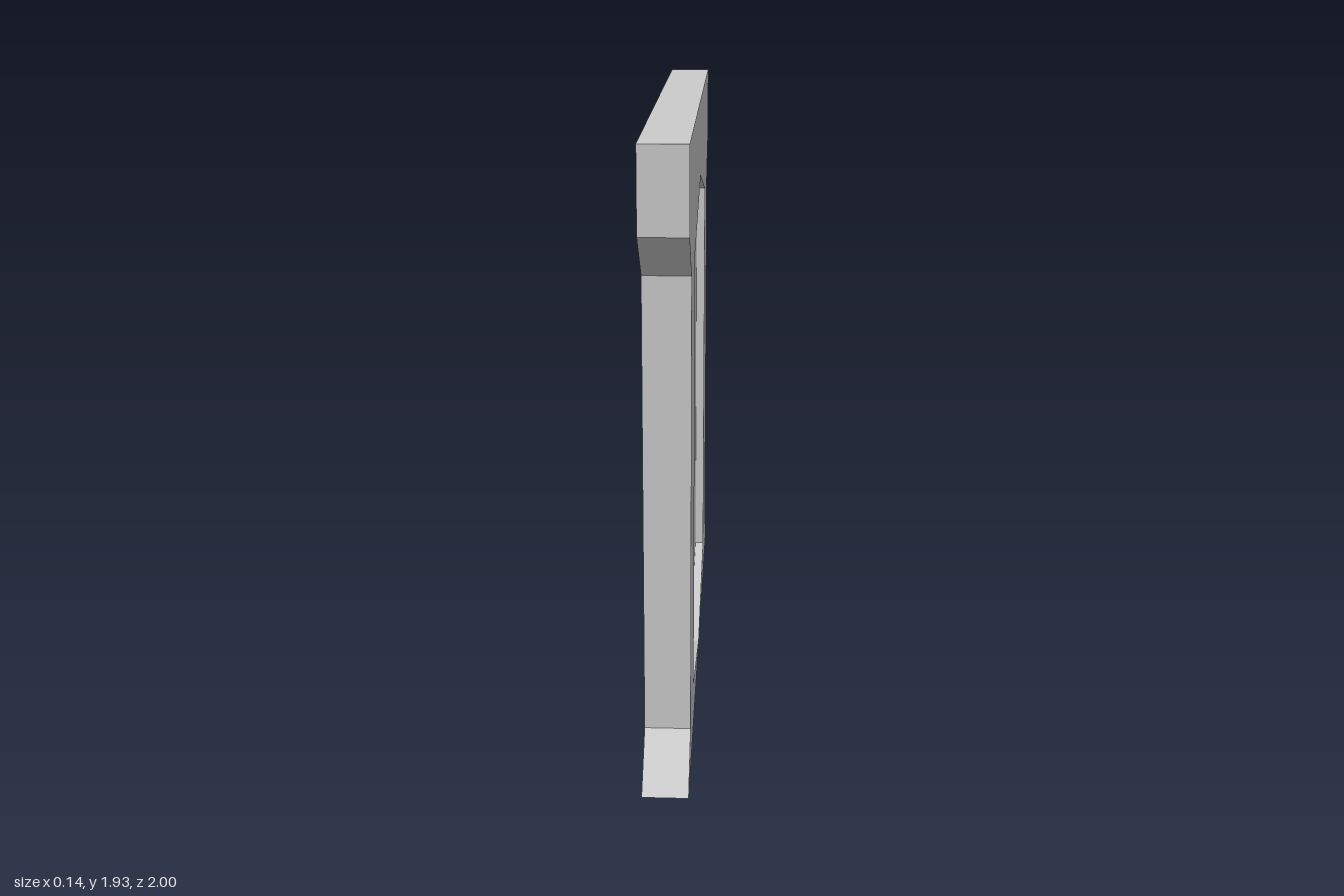
import * as THREE from 'three';

const mat = new THREE.MeshStandardMaterial({ color: 0xcccccc, side: THREE.DoubleSide });
const vecs = (pts) => pts.map(([z, y]) => new THREE.Vector2(z, y));

// Replaces each corner of a polygon by a small arc of radius r.
function rounded(pts, r, steps = 3) {
  const out = [];
  const p = vecs(pts);
  p.forEach((c, i) => {
    const a = p[(i + p.length - 1) % p.length].clone().sub(c).setLength(r).add(c);
    const b = p[(i + 1) % p.length].clone().sub(c).setLength(r).add(c);
    out.push(...new THREE.QuadraticBezierCurve(a, c, b).getPoints(steps));
  });
  return out;
}

// Slab with a (z, y) outline and holes, lying between x0 and x1.
function slab(name, outline, x0, x1, holes = []) {
  const shape = new THREE.Shape(outline);
  holes.forEach((h) => shape.holes.push(new THREE.Path(h)));
  const geo = new THREE.ExtrudeGeometry(shape, { depth: x1 - x0, bevelEnabled: false });
  geo.rotateY(-Math.PI / 2).translate(x1, 0, 0);
  const mesh = new THREE.Mesh(geo, mat);
  mesh.name = name;
  return mesh;
}

// Four-sided door panel on side s (+1 or -1), mirrored top to bottom.
function panel(s, zIn, zOut, halfIn, halfOut) {
  const mid = 0.845;
  return [
    [s * zIn, mid - halfIn], [s * zOut, mid - halfOut],
    [s * zOut, mid + halfOut], [s * zIn, mid + halfIn],
  ];
}

export function createModel() {
  const group = new THREE.Group();
  group.name = 'wallSection';

  // Wall with flared foot and wide head
  const wall = vecs([
    [-1, 0], [1, 0], [0.84, 0.14], [0.84, 1.55], [1, 1.69], [1, 1.935],
    [-1, 1.935], [-1, 1.69], [-0.84, 1.55], [-0.84, 0.14],
  ]);
  // Six-sided recess reaching down to the foot
  const recess = vecs([
    [0, 0.002], [0.565, 0.14], [0.565, 1.55], [0, 1.69], [-0.565, 1.55], [-0.565, 0.14],
  ]);
  const openings = [-1, 1].map((s) => rounded(panel(s, 0.07, 0.515, 0.665, 0.58), 0.05));

  // Core, recessed faces and the layer carrying the two door panels
  group.add(slab('core', wall, -0.026, 0.04));
  group.add(slab('doorLayer', wall, -0.04, -0.026, openings));
  group.add(slab('rightFace', wall, 0.04, 0.07, [recess]));
  group.add(slab('leftFace', wall, -0.07, -0.04, [recess]));

  // Raised fields inside the door panels
  for (const s of [-1, 1]) {
    group.add(slab('doorPanel', vecs(panel(s, 0.12, 0.475, 0.61, 0.54)), -0.036, -0.026));
  }
  return group;
}
